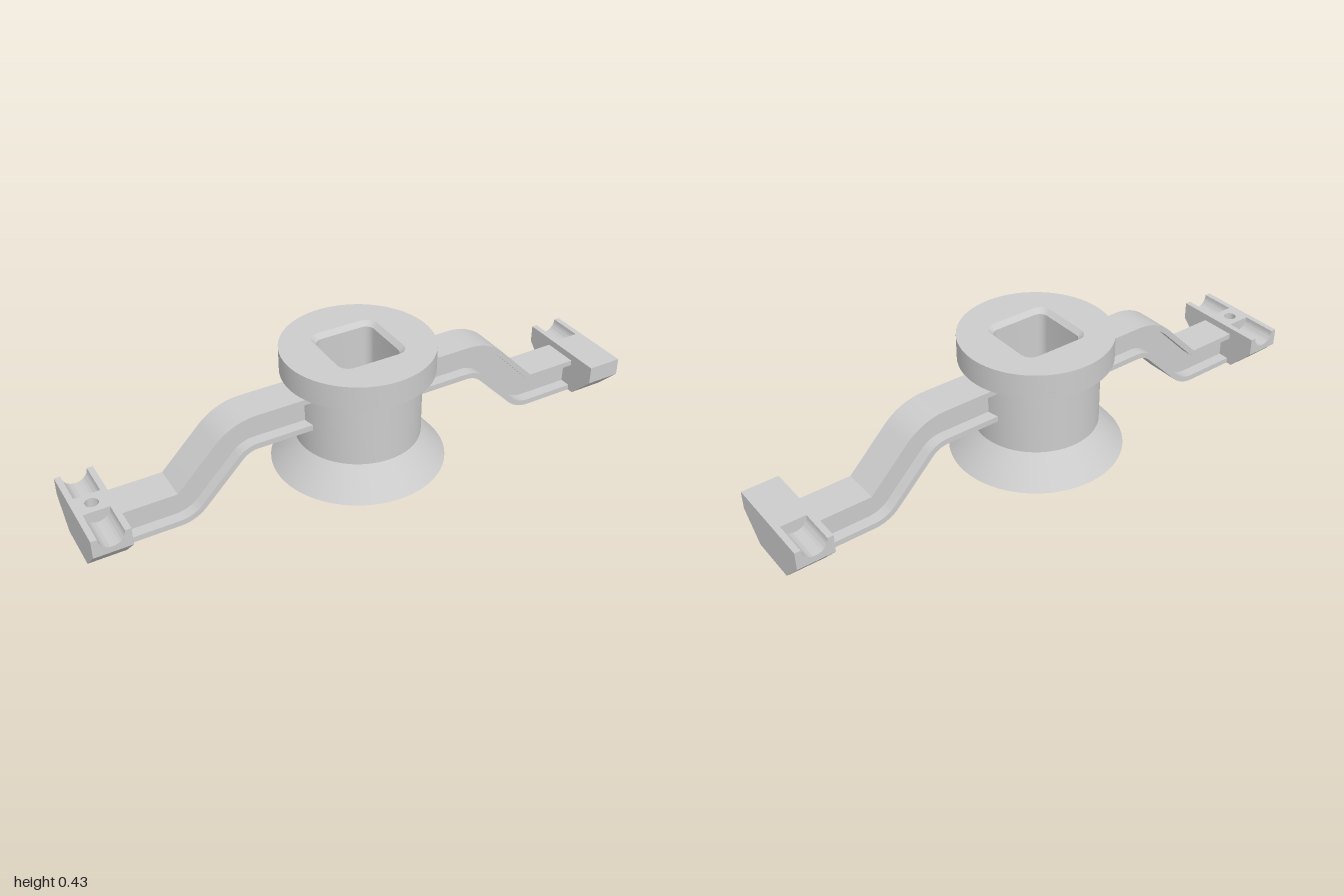
import * as THREE from 'three';
import { mergeGeometries, toCreasedNormals } from 'three/addons/utils/BufferGeometryUtils.js';

const V = (x, y) => new THREE.Vector2(x, y);
const material = new THREE.MeshStandardMaterial({ color: 0xcccccc });

function mesh(name, geometry) {
  const m = new THREE.Mesh(toCreasedNormals(geometry, 0.5), material);
  m.name = name;
  return m;
}

// Closed outlines as counter-clockwise point lists
function polygon(n, r, start = 0) {
  return Array.from({ length: n }, (_, i) => {
    const a = start + (i / n) * Math.PI * 2;
    return V(r * Math.cos(a), r * Math.sin(a));
  });
}

function roundedRect(hw, hh, r, seg = 6) {
  const pts = [];
  [[1, 1], [-1, 1], [-1, -1], [1, -1]].forEach(([sx, sy], q) => {
    for (let i = 0; i <= seg; i++) {
      const a = (q + i / seg) * Math.PI / 2;
      pts.push(V(sx * (hw - r) + r * Math.cos(a), sy * (hh - r) + r * Math.sin(a)));
    }
  });
  return pts;
}

function shapeOf(points, holes = []) {
  const s = new THREE.Shape(points);
  s.holes = holes.map(h => new THREE.Path(h));
  return s;
}

// Horizontal face at height y, facing up or down
function face(points, holes, y, up = true) {
  const g = new THREE.ShapeGeometry(shapeOf(points, holes)).rotateX(-Math.PI / 2);
  if (!up) {
    const ix = g.index.array;
    for (let i = 0; i < ix.length; i += 3) [ix[i], ix[i + 1]] = [ix[i + 1], ix[i]];
  }
  return g.translate(0, y, 0).toNonIndexed();
}

// Inward-facing wall through outlines stacked from bottom to top
function cavity(rings) {
  const pos = [];
  for (let k = 0; k + 1 < rings.length; k++) {
    const [lo, hi] = [rings[k], rings[k + 1]];
    lo.pts.forEach((p, i) => {
      const j = (i + 1) % lo.pts.length;
      const a = [p.x, lo.y, -p.y], b = [lo.pts[j].x, lo.y, -lo.pts[j].y];
      const c = [hi.pts[j].x, hi.y, -hi.pts[j].y], d = [hi.pts[i].x, hi.y, -hi.pts[i].y];
      pos.push(...a, ...c, ...b, ...a, ...d, ...c);
    });
  }
  const g = new THREE.BufferGeometry();
  g.setAttribute('position', new THREE.Float32BufferAttribute(pos, 3));
  return g;
}

function extrude(shape, depth) {
  return new THREE.ExtrudeGeometry(shape, { depth, bevelEnabled: false, curveSegments: 20 });
}

function createHub() {
  const hub = new THREE.Group();
  hub.name = 'hub';
  const profile = [V(0.3, 0), V(0.215, 0.103), V(0.215, 0.346), V(0.26, 0.346), V(0.26, 0.433)];
  hub.add(mesh('hubBody', new THREE.LatheGeometry(profile, 64)));

  // Square pocket with chamfered rim, stepping down to a hexagonal through hole
  const hex = polygon(6, 0.088, Math.PI / 2);
  const pocket = roundedRect(0.107, 0.107, 0.03);
  const rim = roundedRect(0.123, 0.123, 0.04);
  const floorY = 0.1;
  hub.add(mesh('topFace', face(polygon(64, 0.26), [rim], 0.433)));
  hub.add(mesh('squarePocket', cavity([
    { pts: pocket, y: floorY }, { pts: pocket, y: 0.417 }, { pts: rim, y: 0.433 }])));
  hub.add(mesh('pocketFloor', face(pocket, [hex], floorY)));
  hub.add(mesh('hexHole', cavity([{ pts: hex, y: 0 }, { pts: hex, y: floorY }])));

  // Six radial slots in the underside
  const slots = Array.from({ length: 6 }, (_, i) => roundedRect(0.05, 0.01, 0.0099, 4)
    .map(p => V(p.x + 0.215, p.y).rotateAround(V(0, 0), i * Math.PI / 3)));
  hub.add(mesh('underside', face(polygon(64, 0.3), [hex, ...slots], 0, false)));
  const slotDepth = 0.03;
  hub.add(mesh('undersideSlots', mergeGeometries(slots.flatMap(s => {
    const cap = face(s, [], slotDepth, false);
    const wall = cavity([{ pts: s, y: 0 }, { pts: s, y: slotDepth }]);
    cap.deleteAttribute('uv');
    cap.deleteAttribute('normal');
    return [wall, cap];
  }))));
  return hub;
}

// Line along the S-shaped arm, d above its lower edge
function armLine(d) {
  const pts = [V(0.195, 0.2 + d)], n = 12;
  for (let i = 0; i <= n; i++) {
    const a = Math.PI / 2 - (i / n) * Math.PI / 4;
    pts.push(V(0.4 + (0.08 + d) * Math.cos(a), 0.12 + (0.08 + d) * Math.sin(a)));
  }
  const r = 0.127 - d;
  for (let i = 0; i <= (r > 0.001 ? n : 0); i++) {
    const a = Math.PI * 1.25 + (i / n) * Math.PI / 4;
    pts.push(V(0.684 + r * Math.cos(a), 0.127 + r * Math.sin(a)));
  }
  pts.push(V(0.88, d));
  return pts;
}

function createArm(name) {
  const arm = new THREE.Group();
  arm.name = name;
  const strip = (part, d0, d1, halfWidth) => arm.add(mesh(part,
    extrude(shapeOf([...armLine(d0), ...armLine(d1).reverse()]), 2 * halfWidth)
      .translate(0, 0, -halfWidth)));
  strip('lowerFlange', 0, 0.02, 0.065);
  strip('web', 0.02, 0.107, 0.025);
  strip('upperFlange', 0.107, 0.127, 0.065);
  return arm;
}

// End block centred on x = 0; grooves lists the sides (+1 front, -1 back) with a channel
function createEndBlock(name, grooves, hasHole) {
  const block = new THREE.Group();
  block.name = name;
  const hw = 0.0635, mid = 0.045, end = 0.173, top = 0.152, split = 0.1;

  const plan = [V(-hw, -mid), V(hw, -mid), V(hw, mid), V(-hw, mid)];
  block.add(mesh('blockMiddle',
    extrude(shapeOf(plan, hasHole ? [polygon(24, 0.022)] : []), top).rotateX(-Math.PI / 2)));

  for (const s of [1, -1]) {
    // Lower part with chamfered underside
    const side = [[mid, 0], [0.087, 0], [end, 0.088], [end, split], [mid, split]];
    block.add(mesh('blockFoot',
      extrude(shapeOf(side.map(([z, y]) => V(-s * z, y))), 2 * hw)
        .rotateY(Math.PI / 2).translate(-hw, 0, 0)));
    // Upper part, with a half-round channel where needed
    const cap = new THREE.Shape([V(-hw, split), V(hw, split), V(hw, top)]);
    if (grooves.includes(s)) cap.absarc(0, top, 0.043, 0, Math.PI, true);
    cap.lineTo(-hw, top);
    block.add(mesh(grooves.includes(s) ? 'channel' : 'blockTop',
      extrude(cap, end - mid).translate(0, 0, s > 0 ? mid : -end)));
  }
  return block;
}

export function createModel() {
  const model = new THREE.Group();
  model.name = 'bracketWithHub';
  model.add(createHub());

  const leftArm = createArm('leftArm');
  const rightArm = createArm('rightArm');
  rightArm.rotation.y = Math.PI;
  model.add(leftArm, rightArm);

  const leftEnd = createEndBlock('leftEndBlock', [-1], false);
  leftEnd.position.x = 0.9365;
  const rightEnd = createEndBlock('rightEndBlock', [1, -1], true);
  rightEnd.position.x = -0.9365;
  model.add(leftEnd, rightEnd);
  return model;
}
